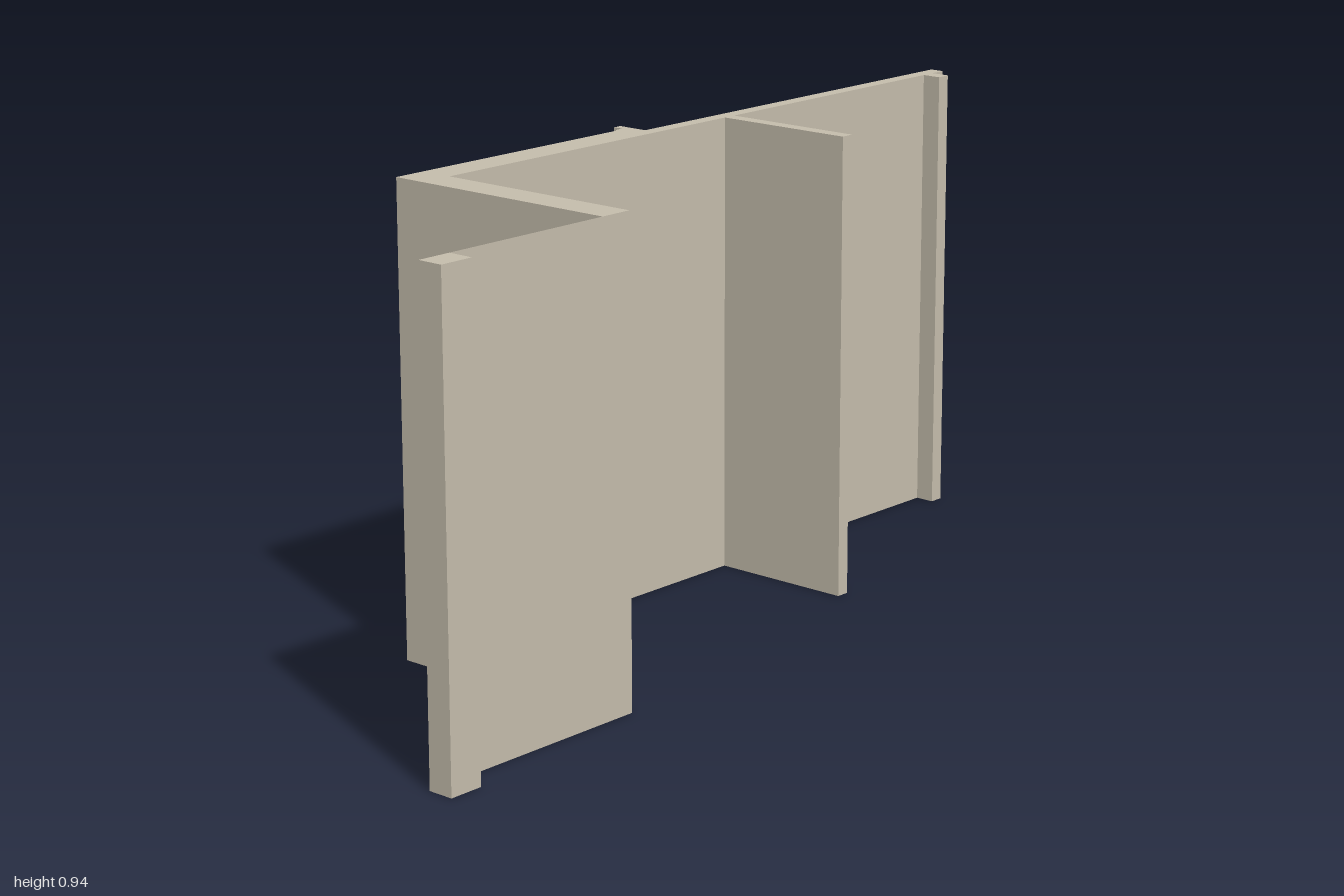
import * as THREE from 'three';

const H = 0.938; // wall height

export function createModel() {
  const model = new THREE.Group();
  const plaster = new THREE.MeshStandardMaterial({ color: 0xc6bead });
  plaster.name = 'plaster';
  const sheet = new THREE.MeshStandardMaterial({ color: 0xc6bead, side: THREE.DoubleSide });
  sheet.name = 'plasterSheet';

  const add = (name, geometry, material = plaster) => {
    const mesh = new THREE.Mesh(geometry, material);
    mesh.name = name;
    model.add(mesh);
  };

  // Full-height block from its plan extents
  const block = (name, x0, x1, z0, z1) => {
    const g = new THREE.BoxGeometry(x1 - x0, H, z1 - z0);
    g.translate((x0 + x1) / 2, H / 2, (z0 + z1) / 2);
    add(name, g);
  };

  // Main wall: thin run, stepped rebate, thick run and its return, as a plan of [x, z]
  const plan = [
    [-0.233, -1], [-0.203, -1], [-0.203, 0.483], [0.245, 0.483], [0.245, 0.552],
    [-0.272, 0.552], [-0.272, -0.048], [-0.278, -0.048], [-0.278, -0.068],
    [-0.299, -0.068], [-0.299, -0.086], [-0.233, -0.086],
  ];
  const shape = new THREE.Shape(plan.map(([x, z]) => new THREE.Vector2(x, -z)));
  const wall = new THREE.ExtrudeGeometry(shape, { depth: H, bevelEnabled: false });
  wall.rotateX(-Math.PI / 2);
  add('mainWall', wall);

  // Parts standing off the main wall
  block('backJamb', -0.203, -0.162, -0.965, -0.935);
  block('partition', -0.203, 0.1, -0.318, -0.29);
  block('frontPost', 0.245, 0.298, 0.928, 1);

  // Paper-thin panel joining the return to the front post
  const panel = new THREE.PlaneGeometry(1 - 0.552, H);
  panel.rotateY(Math.PI / 2);
  panel.translate(0.245, H / 2, (0.552 + 1) / 2);
  // Stop the panel at the post so the faces do not coincide
  const p = panel.attributes.position;
  for (let i = 0; i < p.count; i++) p.setZ(i, Math.min(p.getZ(i), 0.928));
  add('frontPanel', panel, sheet);

  return model;
}
